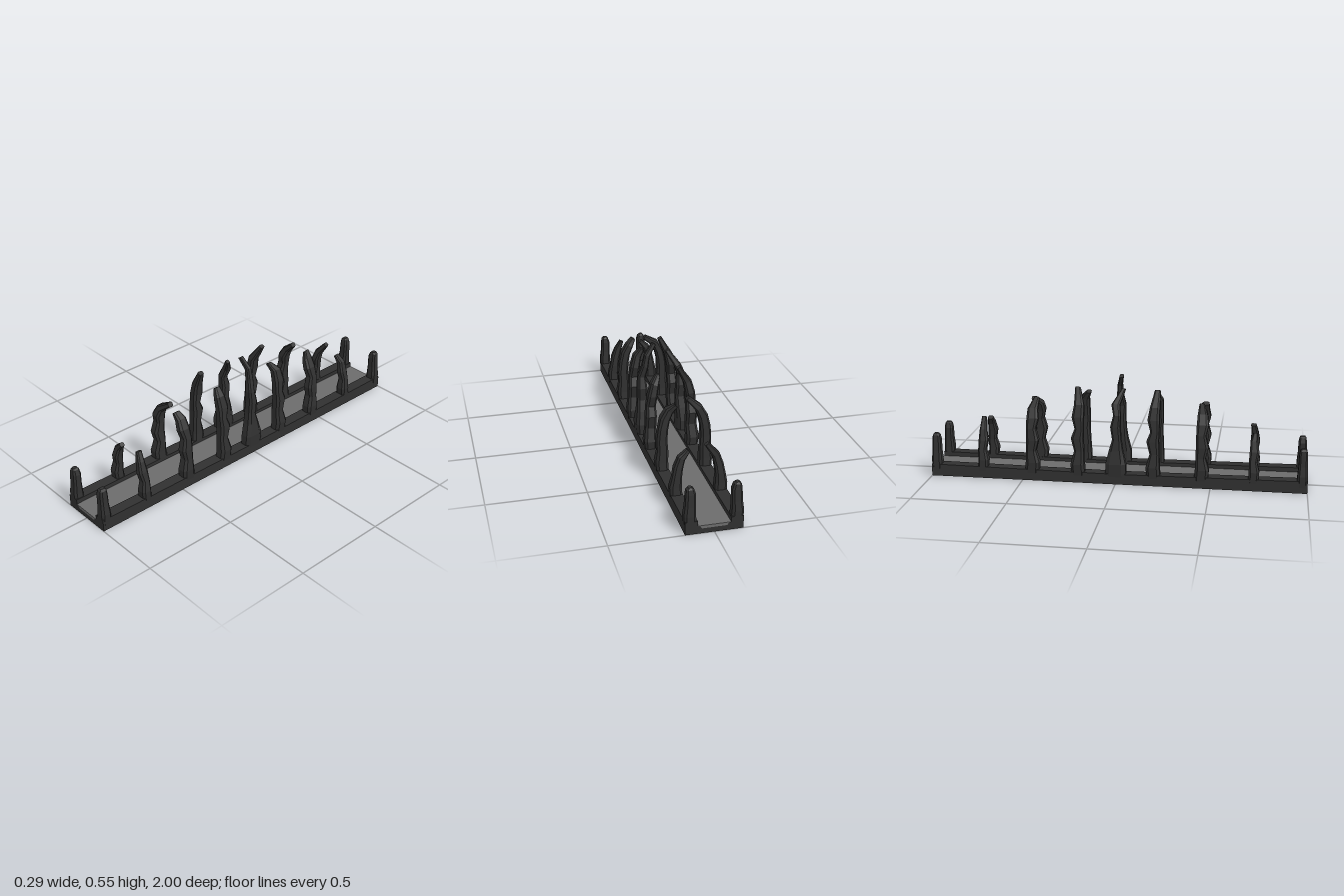
import * as THREE from 'three';

const dark = new THREE.MeshStandardMaterial({ color: 0x303030 });
dark.name = 'charredStone';
const grey = new THREE.MeshStandardMaterial({ color: 0x6c6c6c });
grey.name = 'deckGrey';

const mesh = (name, geo, mat) => {
  const m = new THREE.Mesh(geo, mat);
  m.name = name;
  return m;
};

// Straight run of a cross-section along z
function run(points, steps = 1) {
  const shape = new THREE.Shape(points.map(([x, y]) => new THREE.Vector2(x, y)));
  return new THREE.ExtrudeGeometry(shape, { depth: 2, steps, bevelEnabled: false }).translate(0, 0, -1);
}

// Chamfered section: [across, along z], in half sizes
const ring = [[1, -0.6], [1, 0.6], [0.6, 1], [-0.6, 1], [-1, 0.6], [-1, -0.6], [-0.6, -1], [0.6, -1]];

// Faceted post through rows of [x, y, z, half thickness, half width along z]
function post(rows, side, z0) {
  const pos = [], idx = [], n = ring.length;
  rows.forEach(([x, y, z, hx, hz], i) => {
    const p = rows[Math.max(i - 1, 0)], q = rows[Math.min(i + 1, rows.length - 1)];
    let tx = i < 2 ? 0 : side * (q[0] - p[0]), ty = i < 2 ? 1 : q[1] - p[1];
    const l = Math.hypot(tx, ty);
    tx /= l; ty /= l;
    for (const [a, b] of ring) pos.push(side * x + a * hx * ty, y - a * hx * tx, z0 + z + b * hz);
  });
  for (let i = 0; i < rows.length - 1; i++) {
    for (let j = 0; j < n; j++) {
      const a = i * n + j, c = i * n + (j + 1) % n;
      idx.push(a, a + n, c, c, a + n, c + n);
    }
  }
  const top = (rows.length - 1) * n;
  for (let j = 1; j < n - 1; j++) idx.push(top, top + j + 1, top + j);
  const g = new THREE.BufferGeometry();
  g.setAttribute('position', new THREE.Float32BufferAttribute(pos, 3));
  g.setIndex(idx);
  const flat = g.toNonIndexed();
  flat.computeVertexNormals();
  return flat;
}

// Post profiles, from the short end posts to the tall middle pair
const profiles = {
  corner: [
    [0.11, 0.03, 0, 0.03, 0.027], [0.115, 0.09, 0, 0.029, 0.027], [0.112, 0.14, 0, 0.025, 0.023],
    [0.11, 0.2, 0, 0.024, 0.022], [0.113, 0.225, 0, 0.018, 0.018], [0.113, 0.234, 0, 0.01, 0.012]],
  small: [
    [0.11, 0.04, 0, 0.03, 0.026], [0.113, 0.1, 0.004, 0.03, 0.027], [0.108, 0.15, -0.003, 0.024, 0.021],
    [0.1, 0.2, 0.003, 0.022, 0.025], [0.085, 0.25, 0, 0.019, 0.019]],
  medium: [
    [0.11, 0.04, 0, 0.03, 0.037], [0.114, 0.1, 0.004, 0.032, 0.036], [0.11, 0.16, -0.004, 0.028, 0.026],
    [0.113, 0.22, 0.004, 0.027, 0.033], [0.108, 0.28, -0.004, 0.025, 0.025], [0.097, 0.33, 0.003, 0.024, 0.031],
    [0.075, 0.375, 0, 0.02, 0.026]],
  large: [
    [0.11, 0.04, 0, 0.03, 0.036], [0.114, 0.1, -0.004, 0.032, 0.036], [0.108, 0.17, 0.004, 0.028, 0.025],
    [0.108, 0.24, -0.006, 0.028, 0.032], [0.106, 0.29, 0.005, 0.025, 0.023], [0.1, 0.35, -0.003, 0.024, 0.031],
    [0.086, 0.41, 0.002, 0.021, 0.026]],
  tall: [
    [0.11, 0.04, 0, 0.03, 0.055], [0.114, 0.11, 0, 0.032, 0.053], [0.107, 0.18, 0, 0.029, 0.036],
    [0.104, 0.24, 0.004, 0.027, 0.023], [0.106, 0.31, -0.003, 0.026, 0.026], [0.107, 0.37, 0.006, 0.021, 0.019],
    [0.087, 0.42, -0.004, 0.018, 0.022]],
};

// Bent tips: profile, side, z, then tip x, y, z shift, half thickness, half width
const posts = [
  ['small', -1, 0.72, 0.052, 0.285, 0.005, 0.011, 0.012], ['small', 1, 0.72, 0.065, 0.3, -0.008, 0.011, 0.014],
  ['small', -1, -0.72, 0.038, 0.312, -0.005, 0.012, 0.012], ['small', 1, -0.72, 0.05, 0.285, 0.004, 0.011, 0.014],
  ['medium', -1, 0.45, 0.012, 0.418, -0.008, 0.013, 0.014], ['medium', 1, 0.45, 0.05, 0.41, 0.008, 0.012, 0.018],
  ['medium', -1, -0.45, 0.022, 0.425, 0.012, 0.012, 0.014], ['medium', 1, -0.45, 0.046, 0.405, -0.018, 0.012, 0.014],
  ['large', -1, 0.2, 0.044, 0.495, 0.012, 0.012, 0.015], ['large', 1, 0.2, 0.06, 0.45, -0.004, 0.012, 0.016],
  ['large', -1, -0.2, 0.036, 0.495, -0.012, 0.011, 0.014], ['large', 1, -0.2, 0.06, 0.45, 0.03, 0.012, 0.013],
  ['tall', -1, 0, 0.038, 0.495, 0.032, 0.011, 0.01],
];

export function createModel() {
  const group = new THREE.Group();
  group.name = 'postedBridge';

  // Channel-shaped base whose curbs rise slightly toward the ends
  const base = run([[-0.14, 0], [0.14, 0], [0.14, 0.056], [0.08, 0.056], [0.08, 0.04], [0.068, 0.035], [0.06, 0.025],
    [-0.06, 0.025], [-0.068, 0.035], [-0.08, 0.04], [-0.08, 0.056], [-0.14, 0.056]], 8);
  const p = base.attributes.position;
  for (let i = 0; i < p.count; i++) if (p.getY(i) > 0.05) p.setY(i, 0.056 + 0.009 * Math.abs(p.getZ(i)));
  base.computeVertexNormals();
  group.add(mesh('base', base, dark));

  // Light walkway lying in the channel
  group.add(mesh('deck', run([[-0.06, 0.025], [0.06, 0.025], [0.068, 0.035], [0.08, 0.04],
    [-0.08, 0.04], [-0.068, 0.035]]), grey));

  // Corner posts
  for (const side of [-1, 1]) {
    for (const z of [-0.973, 0.973]) group.add(mesh('cornerPost', post(profiles.corner, side, z), dark));
  }

  // Curved posts leaning over the deck
  for (const [kind, side, z, ...tip] of posts) {
    group.add(mesh(kind + 'Post', post([...profiles[kind], tip], side, z), dark));
  }

  // Tallest post has an extra kink before its tip
  const crooked = [...profiles.tall.slice(0, 6), [0.09, 0.43, -0.004, 0.017, 0.018],
    [0.079, 0.49, -0.004, 0.015, 0.014], [0.038, 0.547, 0.01, 0.012, 0.011]];
  group.add(mesh('tallPost', post(crooked, 1, 0), dark));
  return group;
}
